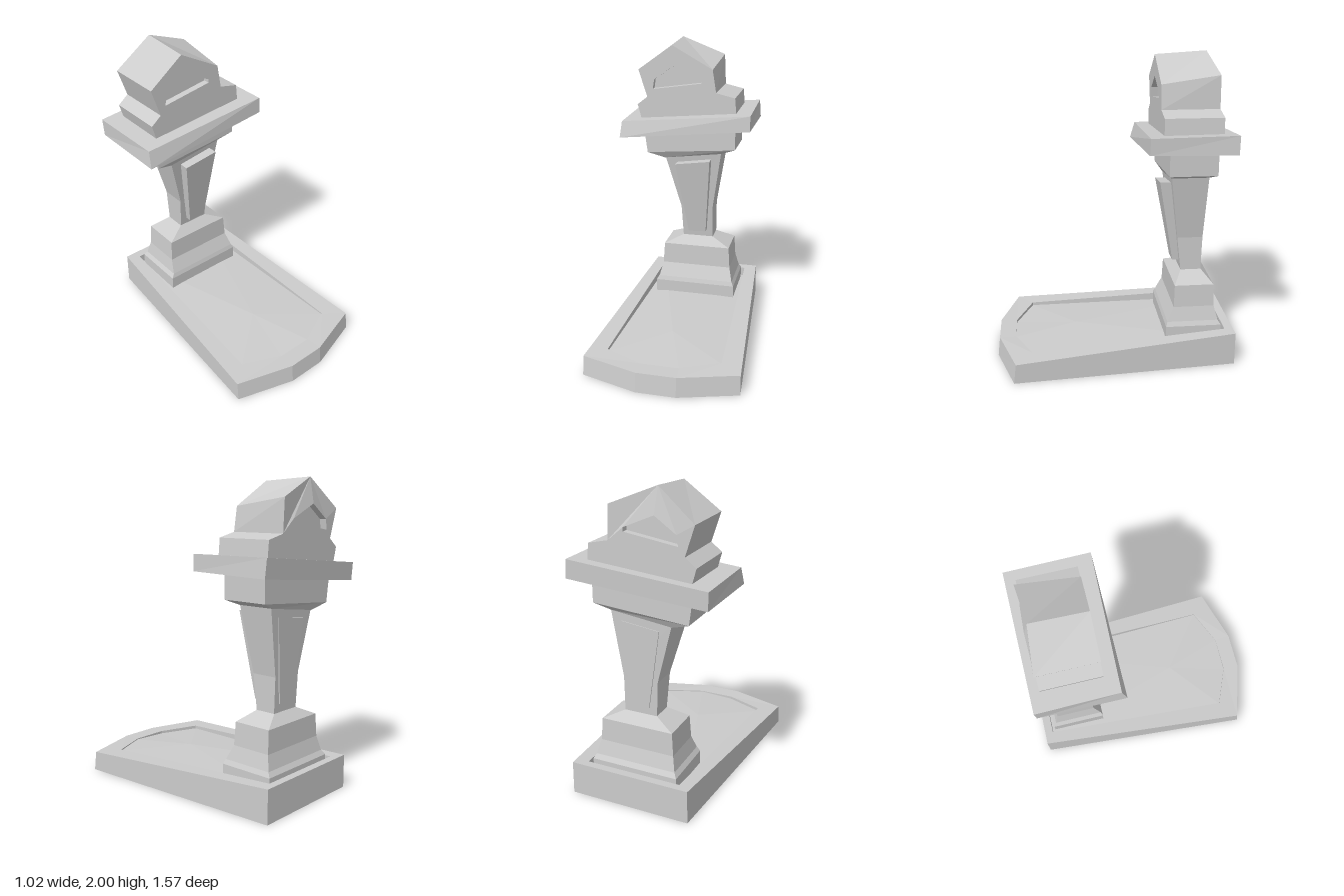
import * as THREE from 'three';

const material = new THREE.MeshStandardMaterial({ color: 0xcccccc, flatShading: true, side: THREE.DoubleSide });

function addMesh(group, name, geometry) {
  const mesh = new THREE.Mesh(geometry, material);
  mesh.name = name;
  group.add(mesh);
  return mesh;
}

// Skin between closed rings of [x, y, z] points, listed bottom to top, with optional caps
function loft(rings, capBottom = true, capTop = true) {
  const pos = [];
  const tri = (a, b, c) => pos.push(...a, ...b, ...c);
  const n = rings[0].length;
  for (let r = 0; r < rings.length - 1; r++) {
    for (let i = 0; i < n; i++) {
      const j = (i + 1) % n, lo = rings[r], hi = rings[r + 1];
      tri(lo[i], lo[j], hi[j]);
      tri(lo[i], hi[j], hi[i]);
    }
  }
  const first = rings[0], last = rings[rings.length - 1];
  for (let i = 1; i < n - 1; i++) {
    if (capBottom) tri(first[0], first[i + 1], first[i]);
    if (capTop) tri(last[0], last[i], last[i + 1]);
  }
  const g = new THREE.BufferGeometry();
  g.setAttribute('position', new THREE.Float32BufferAttribute(pos, 3));
  g.computeVertexNormals();
  return g;
}

// Four-cornered ring whose height may differ between the -x and +x ends
function rect(x0, x1, zBack, zFront, y0, y1 = y0) {
  return [[x0, y0, zFront], [x1, y1, zFront], [x1, y1, zBack], [x0, y0, zBack]];
}

// Raised panel between two quads of [x, y, z], front one given, back one offset in z
function panel(corners, depth) {
  return loft([corners.map(([x, y, z]) => [x, y, z - depth]), corners]);
}

function shapeFrom(points, Type = THREE.Shape) {
  return new Type(points.map(([x, y]) => new THREE.Vector2(x, y)));
}

function extrude(shape, zBack, zFront) {
  const g = new THREE.ExtrudeGeometry(shape, { depth: zFront - zBack, bevelEnabled: false });
  return g.translate(0, 0, zBack);
}

export function createModel() {
  const model = new THREE.Group();
  model.name = 'monument';

  // Sloping plot frame, open underneath
  const rimY = z => Math.max(0.13, 0.22 - (z + 0.785) * 0.0625);
  const outer = [[-0.51, 0.67], [-0.13, 0.785], [0.13, 0.785], [0.51, 0.67], [0.4, -0.785], [-0.4, -0.785]];
  const inner = [[-0.38, 0.55], [-0.12, 0.66], [0.12, 0.66], [0.37, 0.55], [0.315, -0.73], [-0.32, -0.73]];
  const earthEdge = inner.map(([x, z]) => [x, 0.132 - z * 0.03 + (x > 0.1 && z > 0 ? 0.012 : 0), z]);
  addMesh(model, 'plotFrame', loft([
    outer.map(([x, z]) => [x, 0, z]),
    outer.map(([x, z]) => [x * 0.995, rimY(z), z > 0 ? z - 0.015 : z]),
    inner.map(([x, z]) => [x, rimY(z), z]),
    earthEdge,
  ], false, false));

  // Uneven ground inside the frame
  addMesh(model, 'ground', loft([earthEdge, earthEdge.map(() => [-0.02, 0.148, 0.25])], false, false));

  // Stepped plinth, reaching down through the frame
  addMesh(model, 'plinth', loft([
    rect(-0.27, 0.28, -0.7, -0.36, 0),
    rect(-0.29, 0.29, -0.71, -0.34, 0.14),
    rect(-0.29, 0.29, -0.71, -0.34, 0.235),
    rect(-0.27, 0.275, -0.69, -0.35, 0.265),
    rect(-0.25, 0.25, -0.665, -0.395, 0.36),
    rect(-0.24, 0.24, -0.66, -0.4, 0.51),
    rect(-0.11, 0.11, -0.598, -0.46, 0.57),
  ]));

  // Flared shaft with a panel on the front and back
  addMesh(model, 'shaft', loft([
    rect(-0.11, 0.11, -0.597, -0.46, 0.57),
    rect(-0.12, 0.11, -0.603, -0.432, 0.8),
    rect(-0.225, 0.18, -0.618, -0.372, 1.2, 1.25),
  ]));
  addMesh(model, 'frontPanel', panel([
    [-0.06, 0.62, -0.41], [0.065, 0.625, -0.41], [0.107, 1.185, -0.31], [-0.14, 1.15, -0.315],
  ], 0.09));
  addMesh(model, 'backPanel', panel([
    [-0.06, 0.62, -0.59], [0.065, 0.625, -0.59], [0.107, 1.17, -0.605], [-0.14, 1.14, -0.605],
  ], 0.016));

  // Leaning capital
  addMesh(model, 'capital', loft([
    rect(-0.225, 0.175, -0.62, -0.37, 1.18, 1.23),
    rect(-0.345, 0.28, -0.65, -0.34, 1.22, 1.27),
    rect(-0.365, 0.28, -0.65, -0.34, 1.37, 1.45),
  ]));

  // Wide tilted slab
  addMesh(model, 'slab', loft([
    [[-0.5, 1.355, -0.185], [0.4, 1.44, -0.195], [0.4, 1.43, -0.745], [-0.495, 1.355, -0.735]],
    [[-0.49, 1.465, -0.215], [0.4, 1.545, -0.2], [0.39, 1.55, -0.75], [-0.5, 1.47, -0.74]],
  ]));

  // Gabled head with a sunken niche on both faces
  const niche = [[-0.29, 1.68], [-0.28, 1.745], [-0.145, 1.84], [0.05, 1.755], [0.05, 1.73]];
  const profile = shapeFrom([
    [-0.37, 1.46], [-0.4, 1.57], [-0.33, 1.625], [-0.39, 1.81], [-0.155, 2],
    [0.14, 1.88], [0.15, 1.67], [0.28, 1.64], [0.29, 1.53],
  ]);
  profile.holes.push(shapeFrom(niche, THREE.Path));
  const head = extrude(profile, -0.675, -0.3);
  const p = head.attributes.position;
  for (let i = 0; i < p.count; i++) {
    const x = p.getX(i), y = p.getY(i), front = p.getZ(i) > -0.4;
    if (y > 1.99) {
      // ridge: dips to the front, set in at the back
      if (front) p.setY(i, 1.98);
      else p.setZ(i, -0.64);
    } else if (front && x > 0.1 && y > 1.85) {
      // worn front corner of the gable
      p.setXYZ(i, 0.125, 1.825, -0.3);
    }
  }
  head.computeVertexNormals();
  addMesh(model, 'head', head);
  addMesh(model, 'nicheCore', extrude(shapeFrom(niche), -0.63, -0.345));

  return model;
}
